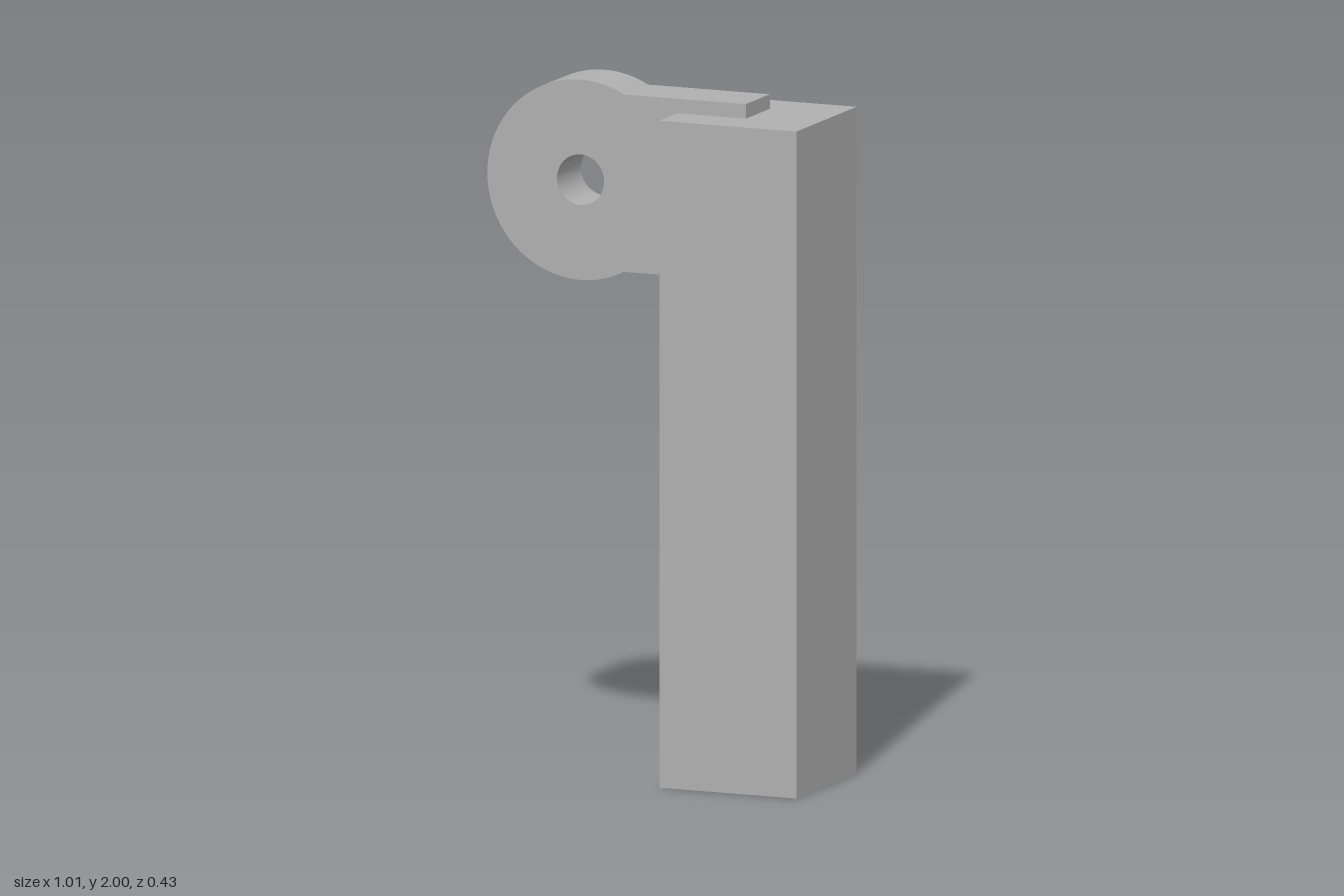
import * as THREE from 'three';

export function createModel() {
  const model = new THREE.Group();
  const grey = new THREE.MeshStandardMaterial({ color: 0xb0b0b0 });
  grey.name = 'grey';

  // Square post
  const post = new THREE.Mesh(new THREE.BoxGeometry(0.425, 1.925, 0.426), grey);
  post.name = 'post';
  post.position.set(0.2945, 0.9625, 0);
  model.add(post);

  // Round eye with a straight tongue let into the top of the post
  const radius = 0.289, halfNeck = 0.256, tongueEnd = 0.512, depth = 0.17;
  const angle = Math.asin(halfNeck / radius);
  const outline = new THREE.Shape();
  outline.moveTo(tongueEnd, -halfNeck);
  outline.lineTo(tongueEnd, halfNeck);
  outline.absarc(0, 0, radius, angle, Math.PI * 2 - angle, false);
  outline.closePath();

  // Pivot hole
  const hole = new THREE.Path();
  hole.absarc(0, 0, 0.073, 0, Math.PI * 2, true);
  outline.holes.push(hole);

  const lugGeometry = new THREE.ExtrudeGeometry(outline, { depth, bevelEnabled: false, curveSegments: 96 });
  lugGeometry.translate(0, 0, -depth / 2);
  const lug = new THREE.Mesh(lugGeometry, grey);
  lug.name = 'hingeLug';
  lug.position.set(-0.218, 1.711, 0);
  model.add(lug);

  return model;
}
